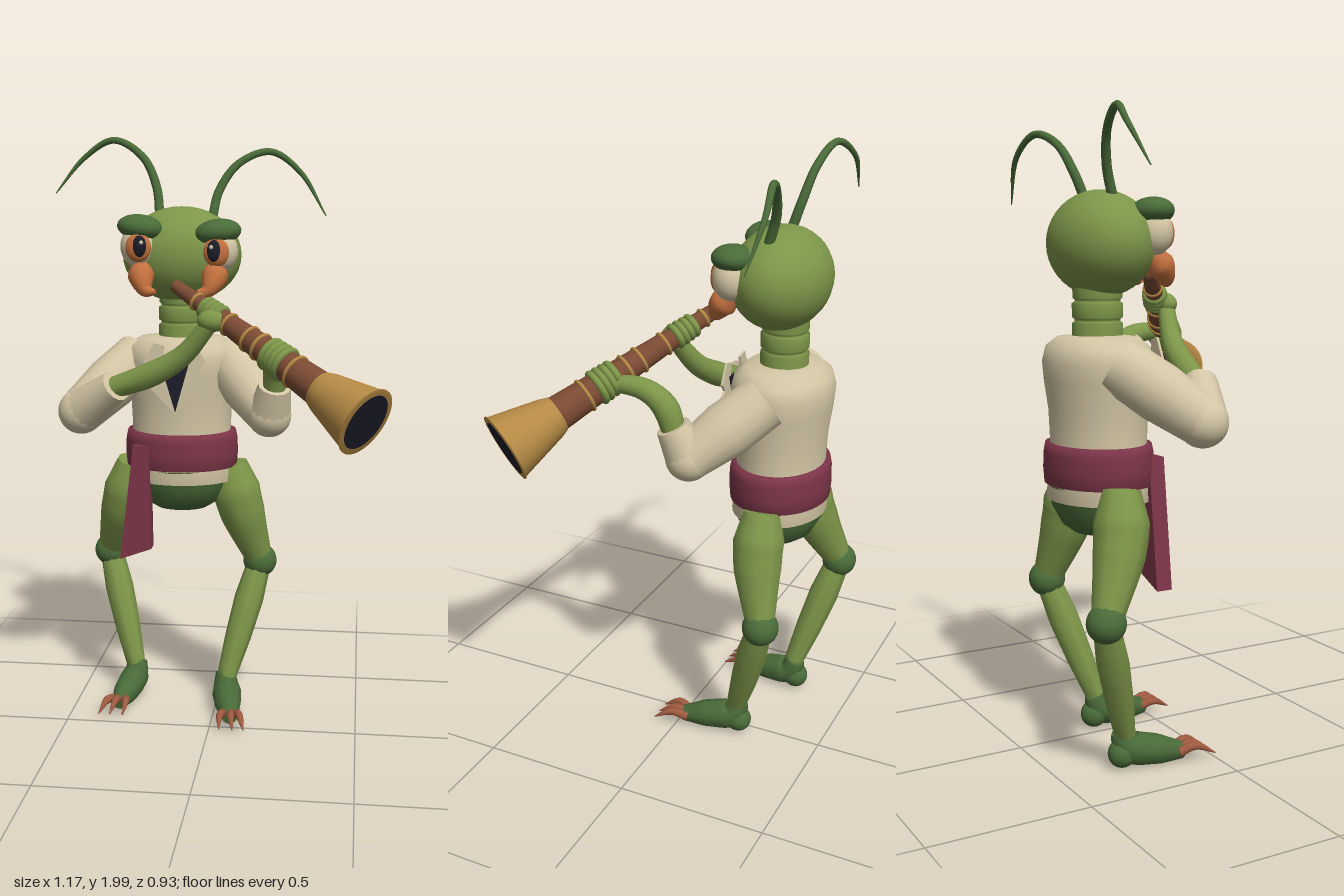
import * as THREE from 'three';

const mat = (name, color, side = THREE.FrontSide) => {
  const m = new THREE.MeshStandardMaterial({ color, side });
  m.name = name;
  return m;
};
const V = (p) => new THREE.Vector3(...p);

// Capped tube along a smooth path, with radii interpolated between stations.
function taperedTube(points, radii, sides = 12, n = 16) {
  const curve = new THREE.CatmullRomCurve3(points.map(V));
  const frames = curve.computeFrenetFrames(n);
  const pos = [], index = [];
  const ring = (i, scale) => {
    const u = i / n, k = Math.min(u * (radii.length - 1), radii.length - 1.0001);
    const a = Math.floor(k), r = THREE.MathUtils.lerp(radii[a], radii[a + 1], k - a) * scale;
    const c = curve.getPoint(curve.getUtoTmapping(u));
    for (let s = 0; s < sides; s++) {
      const t = (s / sides) * Math.PI * 2;
      const v = c.clone().addScaledVector(frames.normals[i], r * Math.cos(t)).addScaledVector(frames.binormals[i], r * Math.sin(t));
      pos.push(v.x, v.y, v.z);
    }
  };
  ring(0, 0); ring(0, 1);
  for (let i = 0; i <= n; i++) ring(i, 1);
  ring(n, 1); ring(n, 0);
  for (let j = 0; j < n + 4; j++) for (let s = 0; s < sides; s++) {
    const a = j * sides + s, c = j * sides + (s + 1) % sides, b = a + sides, d = c + sides;
    index.push(a, c, b, c, d, b);
  }
  const g = new THREE.BufferGeometry();
  g.setAttribute('position', new THREE.Float32BufferAttribute(pos, 3));
  g.setIndex(index);
  g.computeVertexNormals();
  return g;
}

export function createModel() {
  const green = mat('leaf green', 0x7d9649);
  const darkGreen = mat('dark green', 0x4a6b39);
  const cream = mat('cream cloth', 0xd3c6a5, THREE.DoubleSide);
  const maroon = mat('maroon cloth', 0x7c3548);
  const brown = mat('brown wood', 0x7a4a33);
  const gold = mat('brass', 0xb48944, THREE.DoubleSide);
  const orange = mat('orange', 0xc4713f);
  const claw = mat('claw', 0x9f5a40);
  const navy = mat('near black', 0x1c1d29);

  const model = new THREE.Group();
  const add = (name, geometry, material, parent = model) => {
    const m = new THREE.Mesh(geometry, material);
    m.name = name;
    parent.add(m);
    return m;
  };
  const ball = (name, material, p, r, parent = model) => {
    const m = add(name, new THREE.SphereGeometry(1, 28, 20), material, parent);
    m.position.set(...p);
    m.scale.set(...r);
    return m;
  };
  const tube = (name, material, pts, radii, sides, n) => add(name, taperedTube(pts, radii, sides, n), material);
  // Lathe of [radius, y] pairs, squashed front to back, on the body axis
  const lathe = (name, material, pts, depth) => {
    const m = add(name, new THREE.LatheGeometry(pts.map((p) => new THREE.Vector2(...p)), 40), material);
    m.position.set(-0.13, 0, -0.28);
    m.scale.z = depth;
    return m;
  };
  // Flat plate from an outline in x and y
  const plate = (name, material, pts, z, depth) => {
    const s = new THREE.Shape(pts.map((p) => new THREE.Vector2(...p)));
    const m = add(name, new THREE.ExtrudeGeometry(s, { depth, bevelEnabled: false }), material);
    m.position.z = z;
    return m;
  };

  // Body and clothes
  lathe('pelvis', darkGreen, [[0, 0.72], [0.09, 0.72], [0.13, 0.745], [0.165, 0.8], [0.18, 0.87]], 0.85);
  lathe('shirtHem', cream, [[0.175, 0.825], [0.187, 0.825], [0.185, 0.89]], 0.82);
  lathe('jacketBody', cream, [[0.18, 0.88], [0.172, 1], [0.177, 1.1], [0.192, 1.19], [0.198, 1.25], [0.185, 1.295], [0.145, 1.323], [0.07, 1.33]], 0.83);
  lathe('sash', maroon, [[0.18, 0.872], [0.194, 0.874], [0.198, 0.92], [0.196, 0.97], [0.19, 0.998], [0.16, 1.0]], 0.83);
  plate('sashTail', maroon, [[-0.33, 0.555], [-0.22, 0.595], [-0.225, 0.96], [-0.28, 0.96]], -0.185, 0.052);
  plate('shirtFront', navy, [[-0.13, 1.085], [-0.075, 1.27], [-0.185, 1.27]], -0.119, 0.008);
  for (const s of [-1, 1]) {
    const lapel = [[0, 1.08], [0.115, 1.2], [0.085, 1.23], [0.105, 1.255], [0.07, 1.32], [0.035, 1.31], [0.048, 1.25]];
    plate('lapel', cream, lapel.map(([x, y]) => [-0.13 + s * x, y]), -0.113, 0.008);
  }
  lathe('neck', green, [[0.078, 1.3], [0.078, 1.365], [0.07, 1.37], [0.07, 1.378], [0.078, 1.383], [0.078, 1.425], [0.07, 1.43], [0.07, 1.437], [0.076, 1.442], [0.076, 1.5]], 1);

  // Head and face
  ball('head', green, [-0.125, 1.605, -0.265], [0.204, 0.162, 0.157]);
  for (const s of [-1, 1]) {
    const x = (d) => -0.12 + s * d;
    const dy = s < 0 ? 0.007 : -0.007;
    ball('eye', cream, [x(0.137), 1.63 + dy, -0.155], [0.06, 0.07, 0.058]);
    ball('iris', orange, [x(0.13), 1.628 + dy, -0.112], [0.043, 0.048, 0.022]);
    ball('pupil', navy, [x(0.124), 1.632 + dy, -0.1], [0.024, 0.036, 0.016]);
    ball('eyeGlint', cream, [x(0.116), 1.645 + dy, -0.087], [0.007, 0.007, 0.005]);
    const lid = ball('browLid', darkGreen, [x(0.13), 1.692 + dy, -0.158], [0.078, 0.043, 0.066]);
    lid.rotation.z = s * 0.12;
    tube('mandible', orange, [[x(0.125), 1.575, -0.16], [x(0.12), 1.53, -0.115], [x(0.1), 1.495, -0.09], [x(0.07), 1.492, -0.078]], [0.03, 0.046, 0.03, 0.008]);
  }
  tube('rightAntenna', darkGreen, [[-0.2, 1.73, -0.26], [-0.215, 1.83, -0.29], [-0.265, 1.93, -0.315], [-0.37, 1.988, -0.34], [-0.48, 1.93, -0.365], [-0.58, 1.81, -0.35]], [0.016, 0.015, 0.013, 0.011, 0.008, 0.002], 10, 36);
  tube('leftAntenna', darkGreen, [[-0.02, 1.73, -0.26], [0.0, 1.82, -0.29], [0.065, 1.91, -0.315], [0.17, 1.948, -0.345], [0.27, 1.88, -0.365], [0.36, 1.735, -0.345]], [0.016, 0.015, 0.013, 0.011, 0.008, 0.002], 10, 36);

  // Sleeves and forearms
  const arm = (side, shoulder, elbow, cuff, forearm, elbowR) => {
    tube(side + 'UpperSleeve', cream, [shoulder, elbow], [0.088, 0.092, elbowR], 14, 8);
    ball(side + 'ElbowSleeve', cream, elbow, [elbowR, elbowR, elbowR]);
    tube(side + 'LowerSleeve', cream, [elbow, cuff], [elbowR, 0.054], 14, 4);
    tube(side + 'Forearm', green, forearm, [0.036, 0.042, 0.034, 0.027], 12);
  };
  arm('right', [-0.28, 1.25, -0.29], [-0.45, 1.085, -0.1], [-0.315, 1.185, -0.025],
    [[-0.33, 1.175, -0.035], [-0.2, 1.225, -0.012], [-0.09, 1.29, 0.01], [0.01, 1.405, 0.045]], 0.078);
  arm('left', [0.03, 1.25, -0.28], [0.19, 1.085, -0.095], [0.21, 1.19, -0.05],
    [[0.207, 1.15, -0.06], [0.215, 1.255, -0.025], [0.22, 1.3, 0.04], [0.23, 1.31, 0.15]], 0.074);

  // Horn: local y runs from the mouthpiece to the bell
  const horn = new THREE.Group();
  horn.name = 'horn';
  const start = V([-0.125, 1.512, -0.095]), end = V([0.505, 1.155, 0.368]);
  const length = start.distanceTo(end);
  horn.position.copy(start);
  horn.quaternion.setFromUnitVectors(V([0, 1, 0]), end.clone().sub(start).normalize());
  model.add(horn);
  const turned = (name, pts, material) => add(name, new THREE.LatheGeometry(pts.map((p) => new THREE.Vector2(...p)), 32), material, horn);
  const pipeR = (y) => 0.021 + 0.036 * y / (0.8 * length);
  turned('pipe', [[0, 0], [0.021, 0], [pipeR(0.8 * length), 0.8 * length]], brown);
  turned('bell', [[0.058, 0.78 * length], [0.068, 0.81 * length], [0.108, length], [0.112, length], [0.112, length + 0.004], [0.09, length + 0.004]], gold);
  const mouth = add('bellOpening', new THREE.CylinderGeometry(0.092, 0.092, 0.008, 32), navy, horn);
  mouth.position.y = length + 0.001;
  const wrap = (name, y, r, material) => {
    const ring = add(name, new THREE.TorusGeometry(pipeR(y), r, 10, 28).rotateX(Math.PI / 2), material, horn);
    ring.position.y = y;
  };
  for (const t of [0.13, 0.31, 0.42, 0.48, 0.66]) wrap('pipeBand', t * length, 0.006, gold);

  // Hands, with fingers wrapped round the pipe
  ball('rightPalm', green, [0.015, 1.412, 0.043], [0.05, 0.036, 0.037]);
  ball('leftPalm', green, [0.232, 1.312, 0.165], [0.046, 0.046, 0.046]);
  for (const t of [0.22, 0.57]) for (let i = 0; i < 4; i++) wrap('finger', t * length + (i - 1.5) * 0.021, 0.0115, green);

  // Legs, feet and claws
  const leg = (side, s, hip, mid, knee, ankle) => {
    tube(side + 'Thigh', green, [hip, mid, knee], [0.06, 0.086, 0.08, 0.063, 0.046], 10);
    ball(side + 'Knee', darkGreen, knee, [0.06, 0.06, 0.06]);
    tube(side + 'Shin', green, [knee, ankle], [0.042, 0.052, 0.046, 0.034], 8, 6);
    const [x, , z] = ankle;
    tube(side + 'Foot', darkGreen, [[x - s * 0.005, 0.125, z - 0.01], [x, 0.075, z + 0.01], [x + s * 0.015, 0.052, z + 0.1], [x + s * 0.03, 0.035, z + 0.19]], [0.034, 0.052, 0.046, 0.026], 10);
    ball(side + 'Heel', darkGreen, [x, 0.055, z - 0.01], [0.042, 0.045, 0.045]);
    for (const k of [-1, 0.2, 1.2]) {
      const cx = x + s * (0.03 + k * 0.018);
      tube(side + 'Claw', claw, [[cx, 0.04, z + 0.165], [cx + s * k * 0.012, 0.056, z + 0.215], [cx + s * (0.01 + k * 0.02), 0.028, z + 0.275]], [0.016, 0.013, 0.002], 8, 8);
    }
  };
  leg('left', 1, [0.04, 0.875, -0.285], [0.078, 0.72, -0.29], [0.145, 0.51, -0.332], [0.038, 0.11, -0.205]);
  leg('right', -1, [-0.305, 0.875, -0.295], [-0.345, 0.72, -0.32], [-0.415, 0.51, -0.405], [-0.305, 0.11, -0.285]);
  return model;
}
